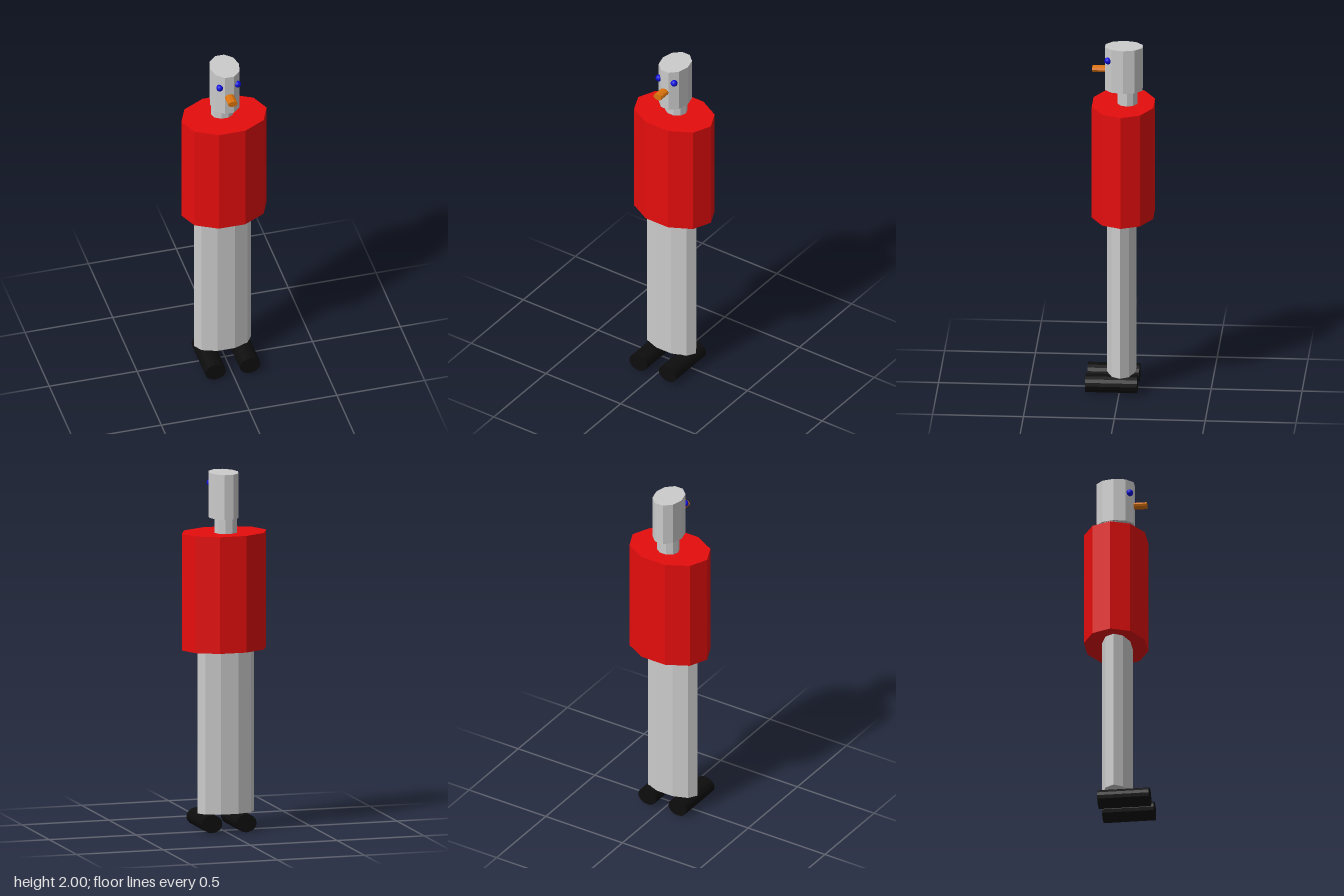
import * as THREE from 'three';

const mat = (color) => new THREE.MeshStandardMaterial({ color, flatShading: true });

export function createModel() {
  const model = new THREE.Group();
  const grey = mat(0xcccccc), red = mat(0xe60d0d), black = mat(0x0d0d0d);
  const orange = mat(0xdb730d), blue = mat(0x0d0ddb);

  const add = (name, geometry, material, x, y, z) => {
    const mesh = new THREE.Mesh(geometry, material);
    mesh.name = name;
    mesh.position.set(x, y, z);
    model.add(mesh);
    return mesh;
  };

  // Elliptical prism with its corners on the long x axis
  const prism = (rx, rz, length, sides = 10) =>
    new THREE.CylinderGeometry(1, 1, length, sides, 1, false, Math.PI / 2).scale(rx, 1, rz);

  // Upright body sections
  add('legs', prism(0.162, 0.082, 0.92), grey, -0.012, 0.563, -0.008);
  add('torso', prism(0.243, 0.178, 0.65), red, 0, 1.342, -0.017);
  add('neck', prism(0.065, 0.057, 0.1), grey, -0.004, 1.708, -0.04);
  add('head', prism(0.083, 0.108, 0.25), grey, 0.004, 1.875, -0.02);

  // Nose and feet lie along z
  add('nose', prism(0.027, 0.018, 0.076).rotateX(Math.PI / 2), orange, 0.004, 1.865, 0.115);
  const foot = prism(0.059, 0.05, 0.285, 16).rotateX(Math.PI / 2);
  add('leftFoot', foot, black, 0.094, 0.055, 0.042);
  add('rightFoot', foot, black, -0.103, 0.05, 0.042);

  // Eyes
  const eyeMaterial = blue.clone();
  eyeMaterial.flatShading = false;
  const eye = new THREE.SphereGeometry(0.019, 20, 14);
  add('leftEye', eye, eyeMaterial, 0.055, 1.93, 0.065);
  add('rightEye', eye, eyeMaterial, -0.047, 1.924, 0.065);

  return model;
}
